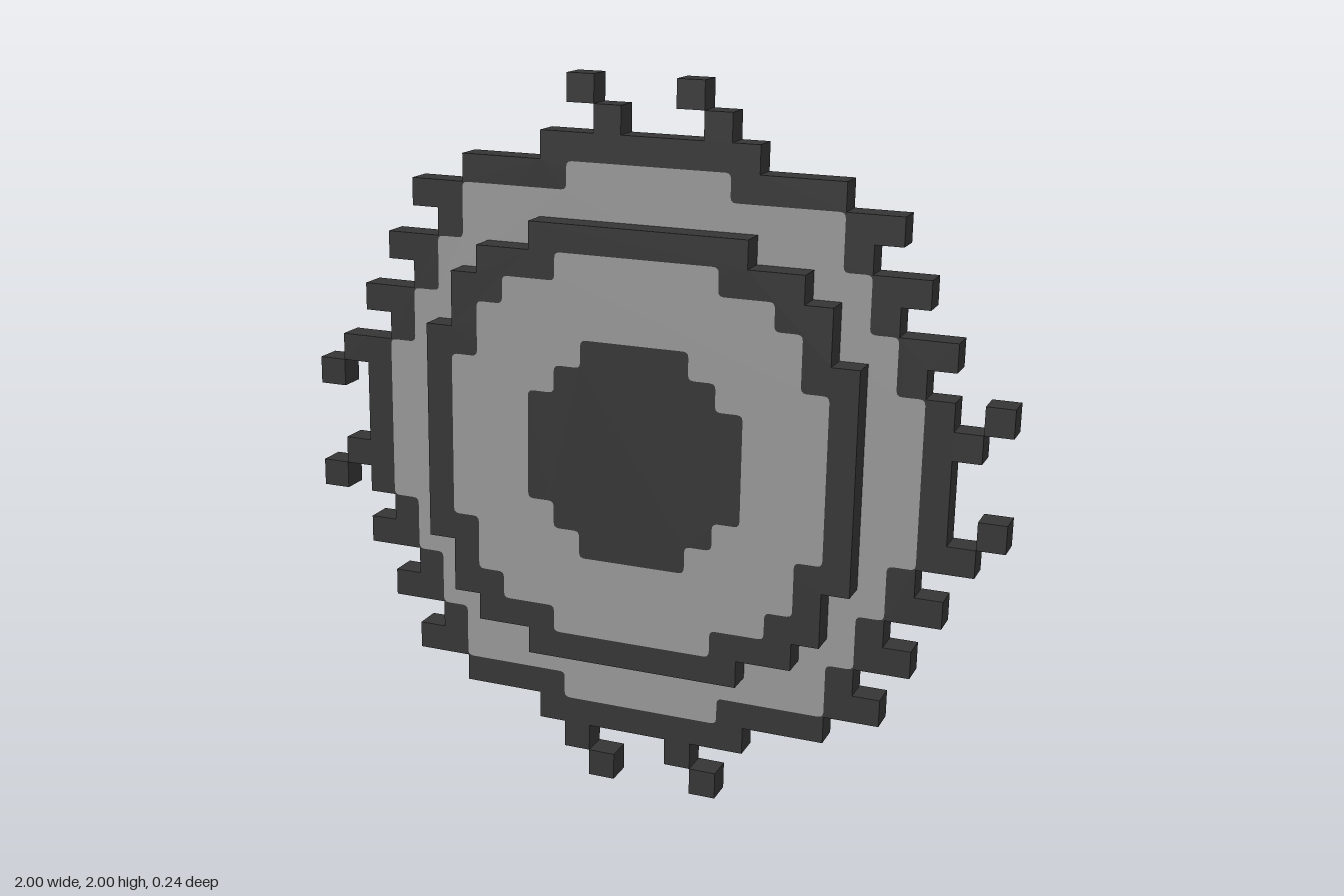
import * as THREE from 'three';

const S = 0.0766; // size of one block

// Stepped outline from half-widths per row, mirrored in x and y; round softens the corners
function steppedShape(halfWidths, round = 0) {
  const quarter = [];
  halfWidths.forEach((w, row) => {
    if (row && w === halfWidths[row - 1]) quarter.pop();
    else quarter.push([w, row]);
    quarter.push([w, row + 1]);
  });
  quarter.shift(); // the point on the middle line is not a corner
  const flip = (pts, a, b) => pts.map(([x, y]) => [x * a, y * b]);
  const pts = [
    ...quarter,
    ...flip(quarter, -1, 1).reverse(),
    ...flip(quarter, -1, -1),
    ...flip(quarter, 1, -1).reverse(),
  ].map(([x, y]) => new THREE.Vector2(x * S, y * S));
  if (!round) return new THREE.Shape(pts);

  const shape = new THREE.Shape();
  pts.forEach((p, i) => {
    const toward = (q) => p.clone().add(q.clone().sub(p).setLength(round * S));
    const a = toward(pts[(i + pts.length - 1) % pts.length]);
    const b = toward(pts[(i + 1) % pts.length]);
    if (i === 0) shape.moveTo(a.x, a.y);
    else shape.lineTo(a.x, a.y);
    shape.quadraticCurveTo(p.x, p.y, b.x, b.y);
  });
  shape.closePath();
  return shape;
}

export function createModel() {
  const dark = new THREE.MeshStandardMaterial({ color: 0x353535 });
  dark.name = 'darkGrey';
  const light = new THREE.MeshStandardMaterial({ color: 0x969696 });
  light.name = 'lightGrey';

  const model = new THREE.Group();
  model.name = 'sawBlade';
  const blade = new THREE.Group();
  blade.name = 'blade';
  blade.position.y = 1;
  blade.rotation.z = -0.0165; // slight turn about the axle
  model.add(blade);

  const add = (name, geometry, material) => {
    const mesh = new THREE.Mesh(geometry, material);
    mesh.name = name;
    blade.add(mesh);
    return mesh;
  };

  // Solid stepped disc centred on z = 0
  const disc = (name, rows, depth) => {
    const geometry = new THREE.ExtrudeGeometry(steppedShape(rows), { depth, bevelEnabled: false });
    add(name, geometry.translate(0, 0, -depth / 2), dark);
  };
  disc('toothedDisc', [11, 11, 11, 10, 11, 9, 10, 8, 9, 7, 4], S);
  disc('hubDisc', [8, 8, 8, 8, 7, 7, 6, 4], 3 * S);

  // Flat painted faces on the front and back
  const faces = (name, rows, z, material) => {
    const geometry = new THREE.ShapeGeometry(steppedShape(rows, 0.2), 3);
    add(name + 'Front', geometry, material).position.z = z;
    const back = add(name + 'Back', geometry, material);
    back.position.z = -z;
    back.rotation.y = Math.PI;
  };
  faces('outerFace', [10, 10, 10, 9, 9, 8, 8, 7, 7, 3], S / 2 + 0.002, light);
  faces('hubFace', [7, 7, 7, 6, 6, 5, 3], 1.5 * S + 0.001, light);
  faces('core', [4, 4, 3, 2], 1.5 * S + 0.003, dark);

  // Slanted tooth tips, repeated on the four sides
  const block = new THREE.BoxGeometry(S, S, S);
  const tips = [[-2.5, 12.5], [-1.5, 11.5], [1.5, 12.5], [2.5, 11.5]];
  for (let side = 0; side < 4; side++) {
    for (const [x, y] of tips) {
      const tip = add('toothTip', block, dark);
      tip.position.set(x * S, y * S, 0).applyAxisAngle(new THREE.Vector3(0, 0, 1), side * Math.PI / 2);
    }
  }
  return model;
}
